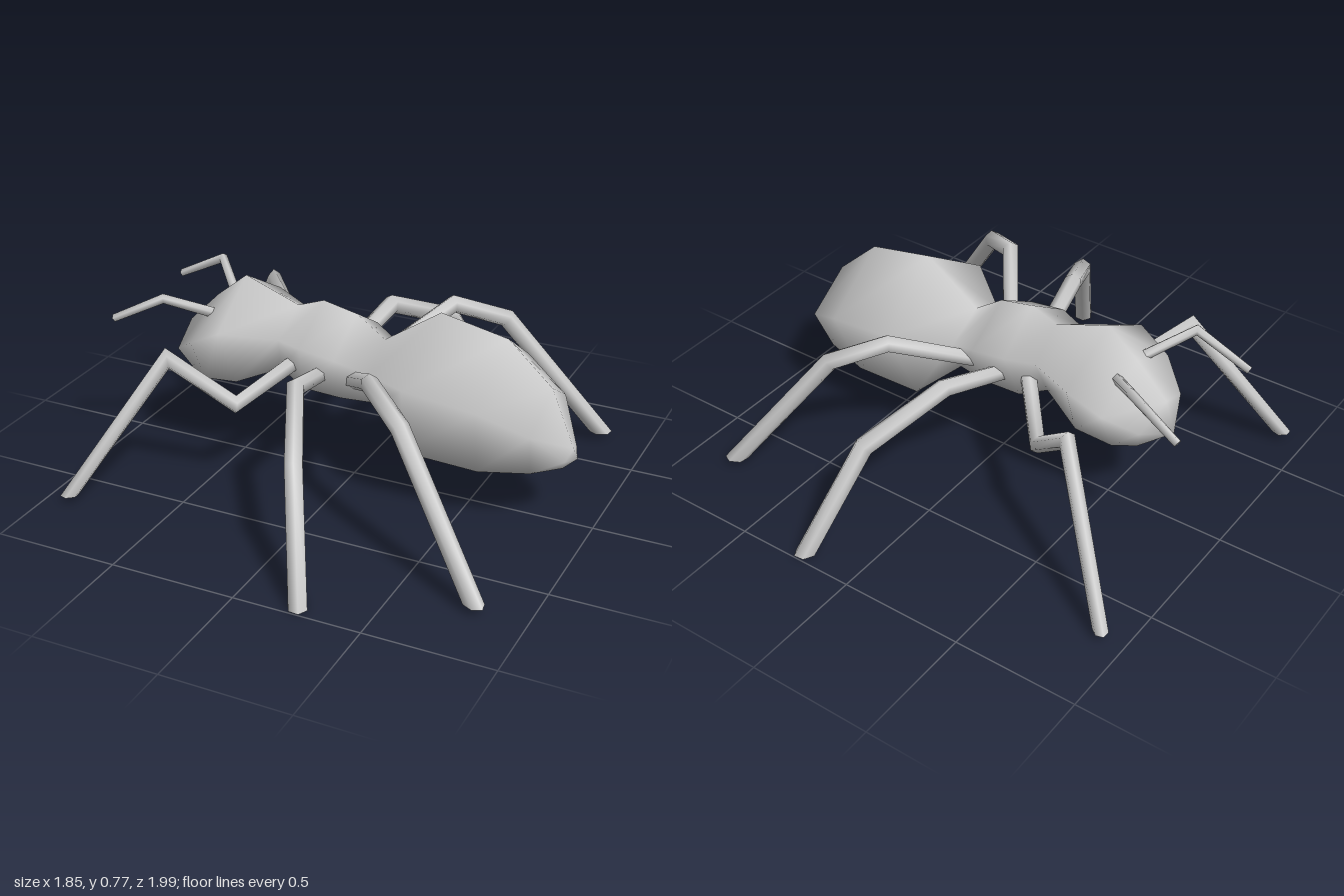
import * as THREE from 'three';

const V = (x, y, z) => new THREE.Vector3(x, y, z);
const material = new THREE.MeshStandardMaterial({ color: 0xcccccc });

// Smooth skin over a row of rings; a pointed tip shares its ring, a flat end copies it.
function loft(rings, startTip, endTip, flat = false) {
  const n = rings[0].length, points = rings.flat(), index = [];
  for (let i = 0; i < rings.length - 1; i++) {
    for (let j = 0; j < n; j++) {
      const a = i * n + j, b = i * n + (j + 1) % n;
      index.push(a, b, a + n, b, b + n, a + n);
    }
  }
  const close = (ring, first, tip, atStart) => {
    let base = first;
    if (flat) {
      base = points.length;
      points.push(...ring);
    }
    const c = points.push(tip) - 1;
    for (let j = 0; j < n; j++) {
      const a = base + j, b = base + (j + 1) % n;
      index.push(c, atStart ? b : a, atStart ? a : b);
    }
  };
  close(rings[0], 0, startTip, true);
  close(rings.at(-1), (rings.length - 1) * n, endTip, false);
  const geometry = new THREE.BufferGeometry().setFromPoints(points);
  geometry.setIndex(index);
  geometry.computeVertexNormals();
  return geometry;
}

// Pentagonal body section: ridge on top, wide shoulders, flat belly.
function bodyRing([topX, topY, lowX, lowY, w]) {
  const t = 0.382;
  const sx = topX + (lowX - topX) * t, sy = topY + (lowY - topY) * t;
  return [V(topX, topY, 0), V(sx, sy, w), V(lowX, lowY, w * 0.62),
    V(lowX, lowY, -w * 0.62), V(sx, sy, -w)];
}

// Jointed limb with mitred bends; groundCut ends it level with the floor.
function limb(path, radii, sides, groundCut) {
  const rings = path.map((p, i) => {
    const before = i > 0 ? p.clone().sub(path[i - 1]).normalize() : null;
    const after = i < path.length - 1 ? path[i + 1].clone().sub(p).normalize() : null;
    const dir = before || after;
    let normal = dir.clone();
    if (before && after) normal = before.clone().add(after).normalize();
    else if (before && groundCut) normal = V(0, -1, 0);
    const u = V(0, 1, 0).addScaledVector(dir, -dir.y).normalize();
    const v = dir.clone().cross(u);
    return Array.from({ length: sides }, (_, j) => {
      const a = (j / sides) * Math.PI * 2;
      const offset = u.clone().multiplyScalar(Math.cos(a) * radii[i])
        .addScaledVector(v, Math.sin(a) * radii[i]);
      // slide along the segment onto the cutting plane
      offset.addScaledVector(dir, -offset.dot(normal) / dir.dot(normal));
      return offset.add(p);
    });
  });
  return loft(rings, path[0].clone(), path.at(-1).clone(), true);
}

export function createModel() {
  const model = new THREE.Group();
  const add = (name, geometry) => {
    const mesh = new THREE.Mesh(geometry, material);
    mesh.name = name;
    model.add(mesh);
  };

  // Head, thorax and abdomen as one skin: top x, top y, bottom x, bottom y, half width
  const sections = [
    [-0.73, 0.54, -0.67, 0.365, 0.15], // head
    [-0.6, 0.67, -0.59, 0.365, 0.235],
    [-0.47, 0.775, -0.44, 0.385, 0.26],
    [-0.24, 0.69, -0.27, 0.45, 0.155], // neck
    [-0.13, 0.73, -0.16, 0.4, 0.2], // thorax
    [0.01, 0.7, 0, 0.392, 0.2],
    [0.13, 0.615, 0.14, 0.385, 0.15], // waist
    [0.36, 0.77, 0.29, 0.255, 0.305], // abdomen
    [0.63, 0.715, 0.59, 0.235, 0.285],
    [0.81, 0.55, 0.78, 0.245, 0.2],
    [0.905, 0.32, 0.88, 0.252, 0.07],
  ];
  add('body', loft(sections.map(bodyRing), V(-0.77, 0.41, 0), V(0.922, 0.28, 0)));

  // Legs and feelers, mirrored across the body
  const limbs = [
    ['frontLeg', [[-0.18, 0.52, 0.1], [-0.365, 0.365, 0.3], [-0.58, 0.575, 0.435], [-0.9, 0.03, 0.685]],
      [0.034, 0.031, 0.031, 0.029], 6, true],
    ['middleLeg', [[-0.09, 0.47, 0.1], [-0.035, 0.565, 0.43], [0.11, 0.42, 0.73], [0.235, 0, 0.955]],
      [0.033, 0.036, 0.038, 0.039], 6, true],
    ['rearLeg', [[0.03, 0.46, 0.09], [0.25, 0.63, 0.4], [0.43, 0.55, 0.53], [0.8, 0.03, 0.715]],
      [0.033, 0.035, 0.036, 0.036], 6, true],
    ['antenna', [[-0.54, 0.61, 0.06], [-0.71, 0.72, 0.235], [-0.925, 0.608, 0.262]],
      [0.022, 0.019, 0.016], 5, false],
  ];
  for (const [name, path, radii, sides, groundCut] of limbs) {
    for (const side of [1, -1]) {
      const points = path.map(([x, y, z]) => V(x, y, z * side));
      add(name, limb(points, radii, sides, groundCut));
    }
  }
  return model;
}
